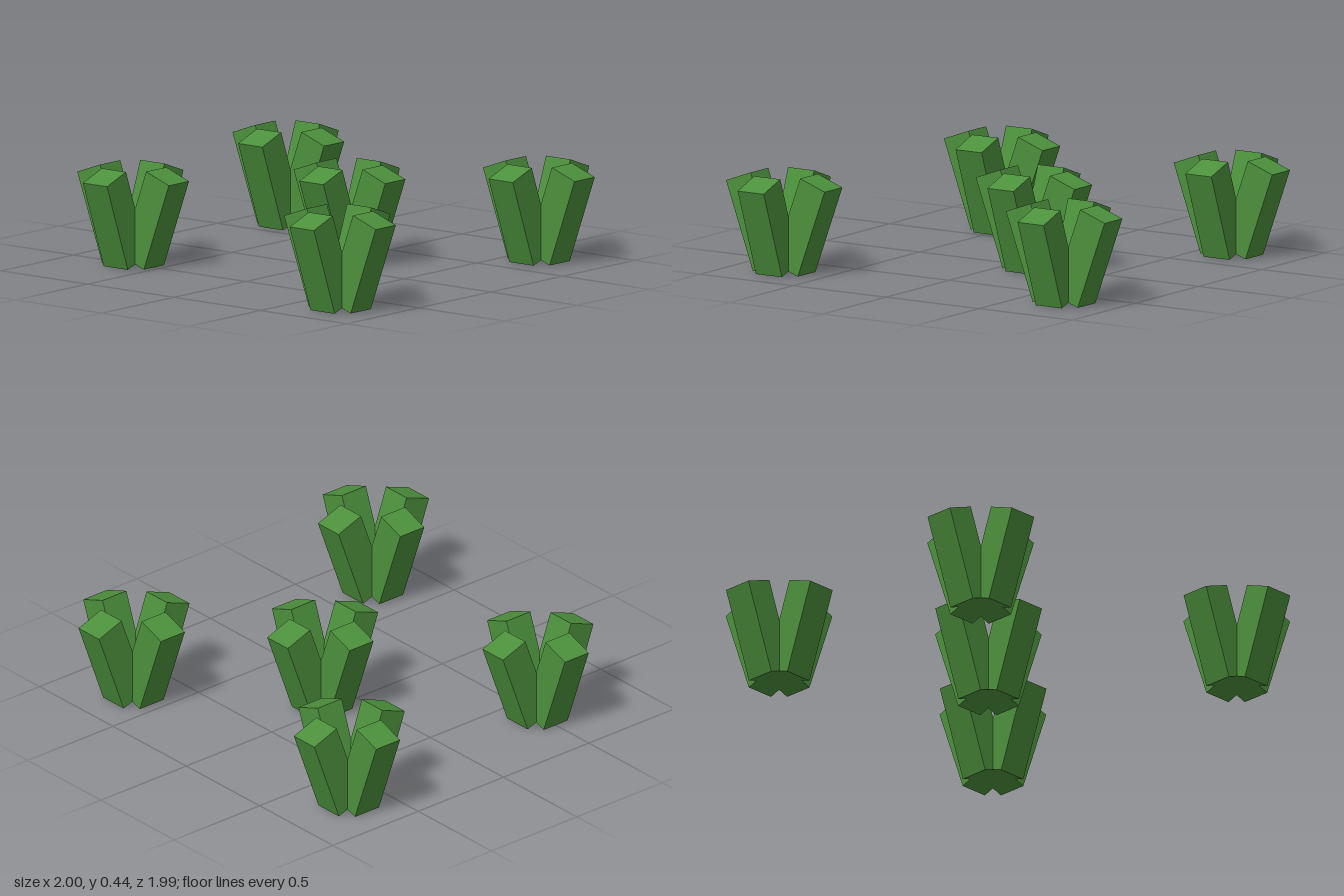
import * as THREE from 'three';

const WIDTH = 0.14, HEIGHT = 0.422, TILT = THREE.MathUtils.degToRad(20);

export function createModel() {
  const model = new THREE.Group();
  model.name = 'grassPatch';

  const green = new THREE.MeshStandardMaterial({ color: 0x4c903c });
  green.name = 'grass green';

  // One square blade, leaning outward towards +x
  const bladeGeometry = new THREE.BoxGeometry(WIDTH, HEIGHT, WIDTH);
  bladeGeometry.rotateZ(-TILT);
  bladeGeometry.translate(0.127, 0.2225, 0);

  // Four blades leaning out in a cross
  function makeTuft(x, z) {
    const tuft = new THREE.Group();
    tuft.name = 'grassTuft';
    ['leftBlade', 'backBlade', 'rightBlade', 'frontBlade'].forEach((name, i) => {
      const blade = new THREE.Mesh(bladeGeometry, green);
      blade.name = name;
      blade.rotation.y = i * Math.PI / 2;
      tuft.add(blade);
    });
    tuft.position.set(x, 0, z);
    return tuft;
  }

  // Scattered tufts: x, z of each
  const spots = [[-0.737, -0.678], [0.668, -0.732], [0.055, -0.153], [-0.653, 0.5], [0.734, 0.728]];
  for (const [x, z] of spots) model.add(makeTuft(x, z));
  return model;
}
